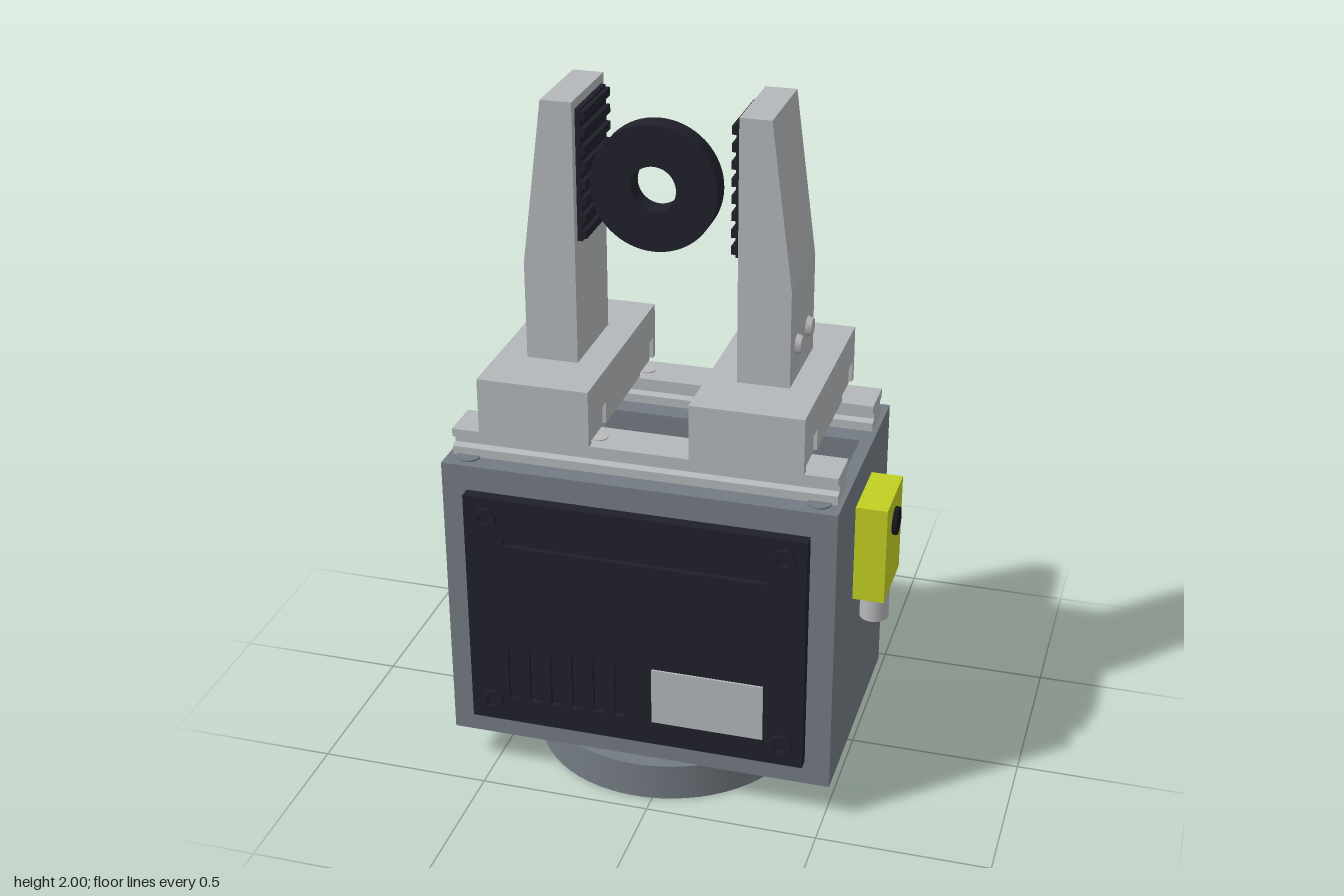
import * as THREE from 'three';
import { toCreasedNormals } from 'three/addons/utils/BufferGeometryUtils.js';

const mat = (name, color) => {
  const m = new THREE.MeshStandardMaterial({ color });
  m.name = name;
  return m;
};

export function createModel() {
  const housing = mat('housing grey', 0x747b83);
  const light = mat('light aluminium', 0xb3b7b9);
  const steel = mat('steel', 0xb9b9bd);
  const dark = mat('dark plastic', 0x20202b);
  const yellow = mat('sensor yellow', 0xc2cf22);
  const black = mat('black', 0x15151c);

  const model = new THREE.Group();
  model.name = 'parallelGripper';
  const root = new THREE.Group();
  root.name = 'assembly';
  root.position.set(-0.053, 0, 0.053);
  model.add(root);

  const add = (name, geo, material, parent = root) => {
    const m = new THREE.Mesh(geo, material);
    m.name = name;
    parent.add(m);
    return m;
  };
  // box given by its min and max corners
  const box = (name, x0, x1, y0, y1, z0, z1, material, parent) =>
    add(name, new THREE.BoxGeometry(x1 - x0, y1 - y0, z1 - z0)
      .translate((x0 + x1) / 2, (y0 + y1) / 2, (z0 + z1) / 2), material, parent);
  // cylinder along an axis, centred at x, y, z
  const rod = (name, axis, r, len, x, y, z, material, parent, sides = 32) => {
    const g = new THREE.CylinderGeometry(r, r, len, sides);
    if (axis === 'x') g.rotateZ(Math.PI / 2);
    if (axis === 'z') g.rotateX(Math.PI / 2);
    return add(name, g.translate(x, y, z), material, parent);
  };
  const polygon = pts => new THREE.Shape(pts.map(p => new THREE.Vector2(p[0], p[1])));
  const rect = (x0, x1, y0, y1) => polygon([[x0, y0], [x1, y0], [x1, y1], [x0, y1]]);
  const extrude = (shape, depth) =>
    new THREE.ExtrudeGeometry(shape, { depth, bevelEnabled: false, curveSegments: 32 });
  // (z, y) cross-section swept along x
  const sweepX = (pts, x0, x1) =>
    extrude(polygon(pts.map(([z, y]) => [-z, y])), x1 - x0).rotateY(Math.PI / 2).translate(x0, 0, 0);
  // ring along +z starting at z = 0
  const ring = (rOut, rIn, depth) => {
    const s = new THREE.Shape().absarc(0, 0, rOut, 0, Math.PI * 2);
    s.holes.push(new THREE.Path().absarc(0, 0, rIn, 0, Math.PI * 2, true));
    return toCreasedNormals(extrude(s, depth), 0.6);
  };

  // Mounting flange with bolt circle
  add('mountingFlange', ring(0.396, 0.125, 0.112).rotateX(-Math.PI / 2), housing);
  for (let i = 0; i < 6; i++) {
    const a = Math.PI / 6 + i * Math.PI / 3;
    rod('flangeBolt', 'y', 0.023, 0.006, 0.312 * Math.cos(a), 0.002, 0.312 * Math.sin(a), steel);
  }

  // Housing: back grooves, top channel, closed ends
  const grooveY = [0.36, 0.55, 0.74];
  const back = [];
  for (const y of grooveY)
    back.push([-0.353, y - 0.02], [-0.341, y - 0.014], [-0.341, y + 0.014], [-0.353, y + 0.02]);
  const outline = [[0.35, 0.11], [-0.353, 0.11], ...back, [-0.353, 0.99]];
  const channel = [[-0.103, 0.99], [-0.103, 0.75], [0.103, 0.75], [0.103, 0.99]];
  add('housing', sweepX([...outline, ...channel, [0.35, 0.99]], -0.53, 0.53), housing);
  add('housingEnd', sweepX([...outline, [0.35, 0.99]], 0.53, 0.567), housing);
  add('housingEnd', sweepX([...outline, [0.35, 0.99]], -0.555, -0.53), housing);
  const slotted = polygon([...outline, [0.35, 0.99]].map(([z, y]) => [-z, y]));
  for (const y of grooveY) slotted.holes.push(rect(-0.25, 0.25, y - 0.016, y + 0.016));
  add('slottedEnd', extrude(slotted, 0.012).rotateY(Math.PI / 2).translate(-0.567, 0, 0), housing);
  for (const sx of [-1, 1]) for (const sz of [-1, 1])
    rod('cornerPlug', 'y', 0.033, 0.006, sx * 0.505, 0.992, sz * 0.296, housing);

  // Channel lining with ribs
  box('channelLining', -0.52, 0.52, 0.75, 0.77, -0.102, 0.102, dark);
  for (let i = 0; i < 18; i++)
    box('channelRib', -0.5 + i * 0.058, -0.48 + i * 0.058, 0.77, 0.785, -0.1, 0.1, dark);

  // Lead screw with opposite threads and a centre collar
  rod('leadScrew', 'x', 0.042, 1.06, 0, 0.87, 0, steel);
  rod('screwCollar', 'x', 0.09, 0.066, -0.025, 0.87, 0, steel);
  class Helix extends THREE.Curve {
    constructor(hand) { super(); this.hand = hand; }
    getPoint(t, out = new THREE.Vector3()) {
      const a = t * Math.PI * 10;
      return out.set(this.hand * (0.05 + 0.44 * t), 0.87 + 0.045 * Math.cos(a), 0.045 * Math.sin(a));
    }
  }
  for (const hand of [-1, 1]) {
    add('screwThread', new THREE.TubeGeometry(new Helix(hand), 160, 0.015, 6), steel);
    rod('endBearing', 'x', 0.085, 0.03, hand * 0.5, 0.87, 0, hand > 0 ? dark : steel);
  }

  // Guide rails
  for (const s of [-1, 1]) {
    const half = [[0.062, 0.99], [0.062, 1.016], [0.042, 1.022], [0.042, 1.04], [0.062, 1.046], [0.062, 1.07]];
    const pts = [...half, ...half.map(([z, y]) => [-z, y]).reverse()];
    add('guideRail', sweepX(pts.map(([z, y]) => [z + s * 0.229, y]), -0.553, 0.553), light);
    for (const x of [-0.14, 0.14])
      rod('railScrew', 'y', 0.025, 0.004, x, 1.071, s * 0.229, steel);
  }

  // Two facing jaws
  for (const angle of [0, Math.PI]) {
    const jaw = new THREE.Group();
    jaw.name = angle ? 'rightJaw' : 'leftJaw';
    jaw.rotation.y = angle;
    root.add(jaw);
    add('jawBase', sweepX([[0.315, 1.08], [0.315, 1.245], [-0.315, 1.245], [-0.315, 1.08],
      [-0.293, 1.08], [-0.293, 1.145], [-0.16, 1.145], [-0.16, 1.08],
      [0.16, 1.08], [0.16, 1.145], [0.293, 1.145], [0.293, 1.08]], 0.142, 0.463), light, jaw);
    for (const s of [-1, 1])
      box('railCarriage', 0.152, 0.453, 1.074, 1.144, s * 0.2265 - 0.065, s * 0.2265 + 0.065, light, jaw);
    box('driveNut', 0.225, 0.375, 0.82, 1.085, -0.082, 0.082, light, jaw);
    const finger = polygon([[0.229, 1.245], [0.378, 1.245], [0.378, 1.53], [0.317, 2], [0.229, 2]]);
    add('finger', extrude(finger, 0.276).translate(0, 0, -0.138), light, jaw);
    for (const z of [-0.063, 0.063])
      add('fingerScrew', toCreasedNormals(new THREE.CylinderGeometry(0.024, 0.03, 0.016, 32), 0.4)
        .rotateZ(-Math.PI / 2).translate(0.386, 1.345, z), steel, jaw);
    // ribbed grip pad
    box('gripPad', 0.215, 0.229, 1.6, 1.975, -0.113, 0.113, dark, jaw);
    for (let i = 0; i < 8; i++)
      box('gripRib', 0.203, 0.215, 1.608 + i * 0.048, 1.632 + i * 0.048, -0.113, 0.113, dark, jaw);
  }

  // Held ring
  add('heldRing', ring(0.177, 0.063, 0.066).translate(0, 1.787, 0.089), dark);

  // Front cover with cut slots, screws and label
  box('coverBack', -0.494, 0.494, 0.185, 0.915, 0.35, 0.37, dark);
  const cover = rect(-0.494, 0.494, 0.185, 0.915);
  cover.holes.push(rect(-0.382, 0.382, 0.768, 0.792));
  for (let i = 0; i < 6; i++) {
    const x = -0.364 + i * 0.064;
    cover.holes.push(rect(x - 0.015, x + 0.015, 0.262, 0.438));
  }
  add('frontCover', extrude(cover, 0.015).translate(0, 0, 0.37), dark);
  for (const x of [-0.43, 0.43]) for (const y of [0.25, 0.853])
    add('coverScrew', ring(0.034, 0.016, 0.014).translate(x, y, 0.385), dark);
  box('label', 0.053, 0.378, 0.263, 0.438, 0.385, 0.391, light);

  // Side sensor with button and cable stub
  box('sensorBody', 0.567, 0.658, 0.595, 0.89, -0.11, 0.11, yellow);
  rod('sensorButton', 'x', 0.041, 0.014, 0.664, 0.805, 0, black, root, 16);
  rod('sensorCable', 'y', 0.042, 0.11, 0.611, 0.54, 0, steel);

  // Rear hollow connector
  add('connector', ring(0.088, 0.058, 0.157).translate(-0.354, 0.312, -0.508), housing);
  rod('connectorCore', 'z', 0.058, 0.08, -0.354, 0.312, -0.392, housing);

  return model;
}
